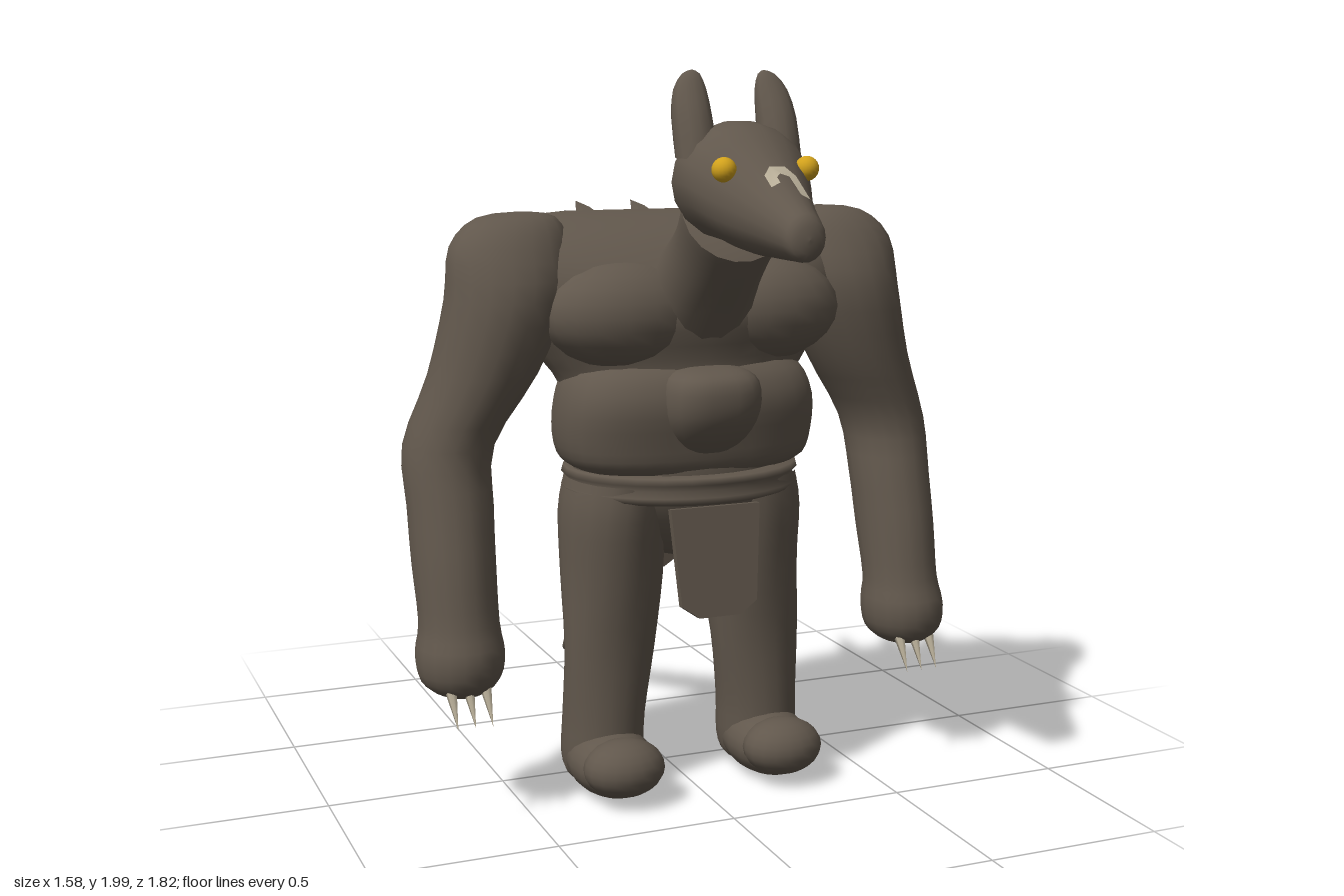
import * as THREE from 'three';

const hide = new THREE.MeshStandardMaterial({ name: 'brown hide', color: 0x61574c });
const gold = new THREE.MeshStandardMaterial({ name: 'gold eye', color: 0xd2a21c });
const bone = new THREE.MeshStandardMaterial({ name: 'pale bone', color: 0xb8ae98, side: THREE.DoubleSide });
const spikeHide = new THREE.MeshStandardMaterial({ name: 'spike hide', color: 0x61574c, flatShading: true });

// Smooth skin over elliptical rings [x, y, z, radiusX, radiusAcross, tilt in degrees about x].
function loft(rings, { sides = 18, steps = 3, power = 1 } = {}) {
  const n = rings.length;
  const at = (i, k) => rings[Math.min(n - 1, Math.max(0, i))][k] ?? 0;
  const pos = [], idx = [];
  const total = (n - 1) * steps;
  for (let s = 0; s <= total; s++) {
    const i = Math.min(n - 2, Math.floor(s / steps)), t = s / steps - i;
    const v = [0, 1, 2, 3, 4, 5].map((k) => {
      const [p0, p1, p2, p3] = [at(i - 1, k), at(i, k), at(i + 1, k), at(i + 2, k)];
      const a = (p2 - p0) / 2, b = (p3 - p1) / 2;
      return p1 + a * t + (3 * (p2 - p1) - 2 * a - b) * t * t + (2 * (p1 - p2) + a + b) * t * t * t;
    });
    const tilt = THREE.MathUtils.degToRad(v[5]);
    for (let j = 0; j < sides; j++) {
      const w = (j / sides) * Math.PI * 2;
      const bend = (c) => Math.sign(c) * Math.abs(c) ** power;
      const a = Math.max(0, v[3]) * bend(Math.cos(w)), b = Math.max(0, v[4]) * bend(Math.sin(w));
      pos.push(v[0] + a, v[1] - b * Math.sin(tilt), v[2] + b * Math.cos(tilt));
    }
  }
  // Face outwards whichever way the rings run
  const m = THREE.MathUtils.degToRad(at(n >> 1, 5));
  const along = (at(n - 1, 1) - at(0, 1)) * Math.cos(m) + (at(n - 1, 2) - at(0, 2)) * Math.sin(m);
  for (let s = 0; s < total; s++) {
    for (let j = 0; j < sides; j++) {
      const k = (j + 1) % sides;
      const A = s * sides + j, B = s * sides + k, C = A + sides, D = B + sides;
      if (along > 0) idx.push(A, C, B, C, D, B);
      else idx.push(A, B, C, C, B, D);
    }
  }
  const g = new THREE.BufferGeometry();
  g.setAttribute('position', new THREE.Float32BufferAttribute(pos, 3));
  g.setIndex(idx);
  g.computeVertexNormals();
  return g;
}

const ball = (x, y, z, rx, ry, rz) =>
  new THREE.SphereGeometry(1, 18, 12).scale(rx, ry, rz).translate(x, y, z);

// Cone standing between two points
function spike(from, to, radius, sides) {
  const a = new THREE.Vector3(...from), d = new THREE.Vector3(...to).sub(a);
  const g = new THREE.ConeGeometry(radius, d.length(), sides).translate(0, d.length() / 2, 0);
  g.applyQuaternion(new THREE.Quaternion().setFromUnitVectors(new THREE.Vector3(0, 1, 0), d.normalize()));
  return g.translate(a.x, a.y, a.z);
}

export function createModel() {
  const model = new THREE.Group();
  model.name = 'beast';
  const add = (name, geometry, material = hide) => {
    const mesh = new THREE.Mesh(geometry, material);
    mesh.name = name;
    model.add(mesh);
    return mesh;
  };

  // Trunk
  add('torso', loft([
    [0, 0.65, 0.1, 0, 0], [0, 0.7, 0.1, 0.14, 0.13], [0, 0.85, 0.12, 0.3, 0.2], [0, 1.0, 0.12, 0.32, 0.2],
    [0, 1.15, 0.09, 0.34, 0.23], [0, 1.24, 0.07, 0.4, 0.25], [0, 1.36, 0.07, 0.47, 0.275],
    [0, 1.47, 0.05, 0.53, 0.245], [0, 1.56, 0.03, 0.52, 0.175], [0, 1.61, 0.01, 0.42, 0.09], [0, 1.625, 0.01, 0.3, 0],
  ], { sides: 28 }));
  add('belly', loft([
    [0, 0.92, 0.13, 0.28, 0.17], [0, 0.95, 0.13, 0.345, 0.2], [0, 1.02, 0.13, 0.368, 0.215],
    [0, 1.12, 0.14, 0.365, 0.22], [0, 1.2, 0.13, 0.33, 0.2], [0, 1.25, 0.12, 0.24, 0.14],
  ], { sides: 28, power: 0.75 }));
  add('bellyPlate', loft([
    [0, 0.98, 0.28, 0.06, 0.05], [0, 1.03, 0.29, 0.11, 0.1], [0, 1.1, 0.3, 0.14, 0.13],
    [0, 1.18, 0.3, 0.135, 0.13], [0, 1.215, 0.29, 0.09, 0.09], [0, 1.225, 0.28, 0, 0],
  ], { power: 0.75 }));

  // Belt with a pinched middle
  const beltProfile = [[0.9, 0.85], [0.97, 0.858], [1, 0.875], [0.94, 0.892], [1, 0.91], [0.985, 0.928], [0.85, 0.93]]
    .map(([r, y]) => new THREE.Vector2(r, y));
  add('belt', new THREE.LatheGeometry(beltProfile, 28).scale(0.34, 1, 0.28).translate(0, 0, 0.11));

  // Hanging cloths, pivoting at the belt
  const cloth = new THREE.Shape([[-0.13, 0], [-0.11, -0.265], [-0.06, -0.3], [0.06, -0.3], [0.11, -0.265], [0.13, 0]]
    .map(([x, y]) => new THREE.Vector2(x, y)));
  for (const [name, z, tilt] of [['frontCloth', 0.355, -0.12], ['backCloth', -0.13, 0.13]]) {
    const g = new THREE.ExtrudeGeometry(cloth, { depth: 0.022, bevelEnabled: false }).translate(0, 0, -0.011);
    const mesh = add(name, g);
    mesh.position.set(0, 0.845, z);
    mesh.rotation.x = tilt;
  }

  // Neck, head and snout
  add('neck', loft([
    [0, 1.34, 0.15, 0.19, 0.17, 45], [0, 1.45, 0.29, 0.145, 0.135, 46],
    [0, 1.54, 0.39, 0.13, 0.125, 50], [0, 1.63, 0.47, 0.14, 0.13, 60],
  ]));
  add('head', loft([
    [0, 1.71, 0.32, 0, 0, 90], [0, 1.71, 0.335, 0.07, 0.07, 90], [0, 1.715, 0.39, 0.135, 0.125, 90],
    [0, 1.72, 0.47, 0.168, 0.152, 90], [0, 1.715, 0.56, 0.17, 0.15, 90], [0, 1.68, 0.65, 0.135, 0.133, 90],
    [0, 1.645, 0.75, 0.092, 0.1, 90], [0, 1.615, 0.85, 0.062, 0.07, 90], [0, 1.6, 0.9, 0.046, 0.05, 90],
    [0, 1.6, 0.912, 0, 0, 90],
  ]));

  // Hooked pale mark draped over the snout
  const mark = new THREE.ShapeGeometry(new THREE.Shape([
    [-0.042, 0.785], [-0.042, 0.745], [-0.02, 0.725], [0.02, 0.725], [0.04, 0.75], [0.04, 0.83],
    [0.015, 0.83], [0.015, 0.765], [-0.005, 0.755], [-0.018, 0.765], [-0.018, 0.785],
  ].map(([x, z]) => new THREE.Vector2(x, z))));
  const p = mark.attributes.position;
  for (let i = 0; i < p.count; i++) {
    const x = p.getX(i), z = p.getY(i), t = (z - 0.75) / 0.1;
    const drop = Math.sqrt(1 - (x / (0.092 - 0.03 * t)) ** 2);
    p.setXYZ(i, x, 1.653 - 0.03 * t + (0.1 - 0.03 * t) * drop, z);
  }
  mark.computeVertexNormals();
  add('snoutMark', mark, bone);

  // Tail
  add('tail', loft([
    [0, 0.86, 0.03, 0.08, 0.08, -128], [0, 0.745, -0.13, 0.08, 0.085, -128], [0, 0.45, -0.475, 0.055, 0.055, -128],
    [0, 0.17, -0.81, 0.025, 0.025, -128], [0, 0.095, -0.895, 0.014, 0.014, -128], [0, 0.088, -0.903, 0, 0, -128],
  ], { sides: 12, steps: 2 }));

  // Row of curved back spikes
  for (const x of [-0.17, 0, 0.17]) {
    const z = x ? 0.015 : 0;
    add('backSpike', loft([
      [x, 1.54, -0.06 + z, 0.05, 0.05, -75], [x, 1.565, -0.13 + z, 0.047, 0.042, -70],
      [x, 1.605, -0.2, 0.024, 0.022, -65], [x, 1.635, -0.275, 0, 0, -70],
    ], { sides: 6, steps: 1 }), spikeHide);
  }

  // Paired parts
  for (const [side, s] of [['left', 1], ['right', -1]]) {
    const mirror = (rings) => rings.map(([x, ...rest]) => [s * x, ...rest]);
    const pair = (part, geometry, material) => add(side + part, geometry, material);

    pair('Pec', ball(s * 0.2, 1.36, 0.2, 0.23, 0.15, 0.155));
    pair('Arm', loft(mirror([
      [0.44, 1.63, 0.07, 0, 0], [0.46, 1.615, 0.075, 0.11, 0.07], [0.485, 1.54, 0.09, 0.165, 0.12],
      [0.5, 1.4, 0.105, 0.168, 0.155], [0.565, 1.2, 0.09, 0.148, 0.15], [0.658, 1.01, 0.07, 0.123, 0.138],
      [0.667, 0.85, 0.11, 0.116, 0.128], [0.67, 0.7, 0.145, 0.112, 0.128], [0.67, 0.55, 0.185, 0.108, 0.115],
      [0.672, 0.47, 0.197, 0.12, 0.128], [0.673, 0.4, 0.2, 0.108, 0.115], [0.673, 0.36, 0.2, 0.06, 0.07],
      [0.673, 0.352, 0.2, 0, 0],
    ])));
    for (const x of [0.625, 0.672, 0.72]) {
      pair('Claw', spike([s * x, 0.4, 0.265], [s * (x - 0.003), 0.295, 0.33], 0.018, 6), bone);
    }
    pair('Leg', loft(mirror([
      [0.19, 0.9, 0.11, 0.14, 0.2], [0.205, 0.8, 0.11, 0.145, 0.19], [0.208, 0.62, 0.115, 0.143, 0.15],
      [0.222, 0.42, 0.135, 0.13, 0.1], [0.236, 0.22, 0.12, 0.117, 0.112], [0.24, 0.1, 0.115, 0.115, 0.118],
      [0.24, 0.04, 0.12, 0.09, 0.09], [0.24, 0.015, 0.13, 0, 0],
    ])));
    pair('Foot', ball(s * 0.24, 0.1, 0.19, 0.12, 0.092, 0.18));
    pair('Toes', ball(s * 0.24, 0.115, 0.295, 0.115, 0.08, 0.095));
    pair('Ear', loft(mirror([
      [0.115, 1.78, 0.5, 0.055, 0.055], [0.117, 1.88, 0.47, 0.053, 0.05], [0.113, 1.95, 0.447, 0.045, 0.032],
      [0.105, 1.99, 0.435, 0.024, 0.014], [0.1, 2.0, 0.43, 0, 0],
    ]), { sides: 12, steps: 2 }));
    pair('Eye', ball(s * 0.112, 1.757, 0.662, 0.031, 0.031, 0.031), gold);
  }

  return model;
}
